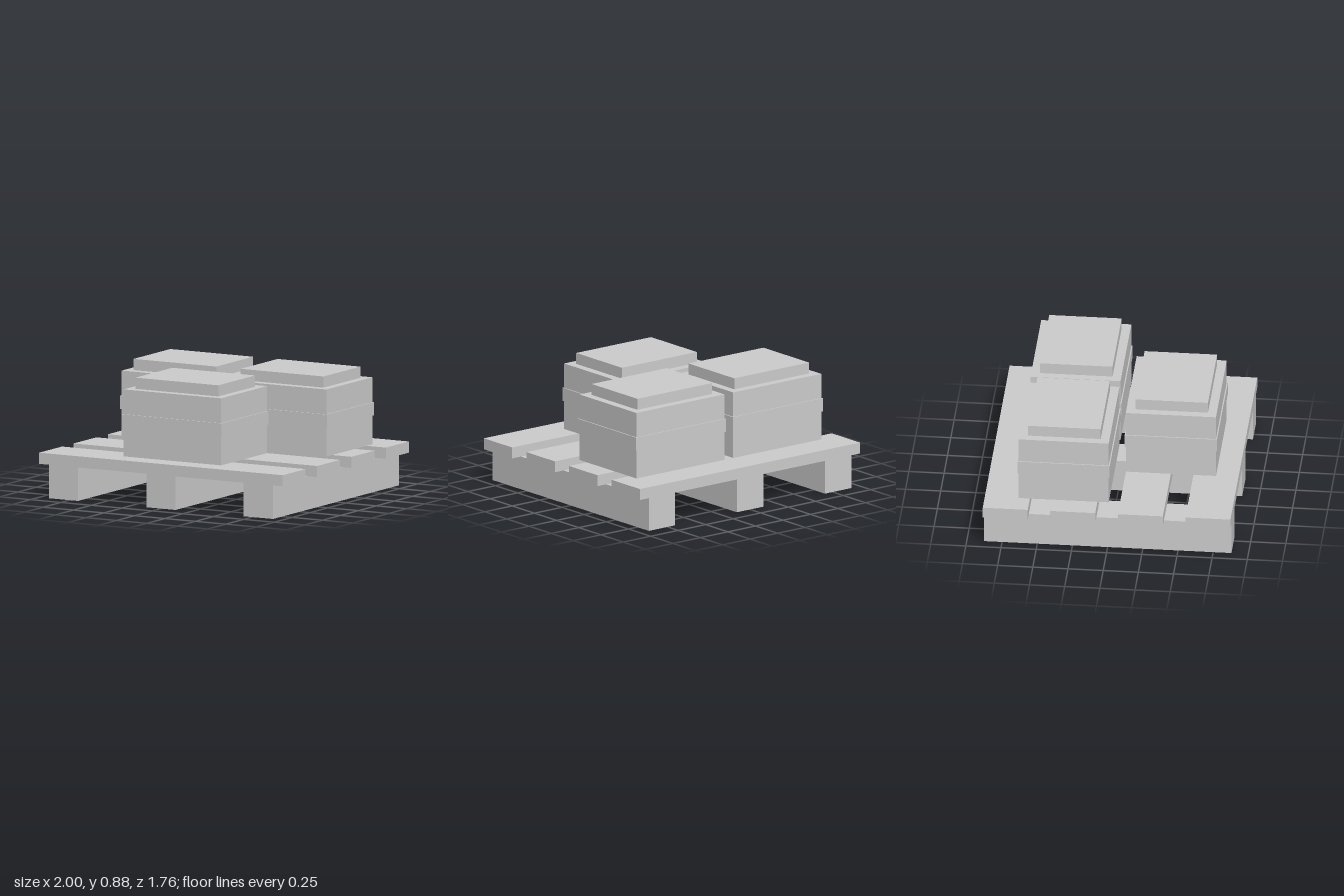
import * as THREE from 'three';

const material = new THREE.MeshStandardMaterial({ color: 0xcccccc, flatShading: true });

// Box with its underside at height y
function addBox(parent, name, [w, h, d], [x, y, z]) {
  const mesh = new THREE.Mesh(new THREE.BoxGeometry(w, h, d), material);
  mesh.name = name;
  mesh.position.set(x, y + h / 2, z);
  parent.add(mesh);
}

// Crate with a belt around the middle and a smaller lid
function createCrate(x, z) {
  const crate = new THREE.Group();
  crate.name = 'crate';
  addBox(crate, 'crateBody', [0.8, 0.48, 0.64], [0, 0, 0]);
  addBox(crate, 'crateBand', [0.816, 0.096, 0.656], [0, 0.206, 0]);
  addBox(crate, 'crateLid', [0.68, 0.08, 0.515], [0, 0.48, 0]);
  crate.position.set(x, 0.32, z);
  return crate;
}

export function createModel() {
  const model = new THREE.Group();
  model.name = 'loadedPallet';

  // Pallet: three runners under four deck boards
  const pallet = new THREE.Group();
  pallet.name = 'pallet';
  for (const x of [-0.8, 0, 0.8]) addBox(pallet, 'runner', [0.24, 0.24, 1.76], [x, 0, 0]);
  for (const z of [-0.72, -0.24, 0.24, 0.72]) addBox(pallet, 'deckBoard', [2, 0.08, 0.32], [0, 0.24, z]);
  model.add(pallet);

  // Two crates at the back, one centred at the front
  for (const [x, z] of [[-0.44, -0.32], [0.44, -0.32], [0, 0.4]]) model.add(createCrate(x, z));

  return model;
}
